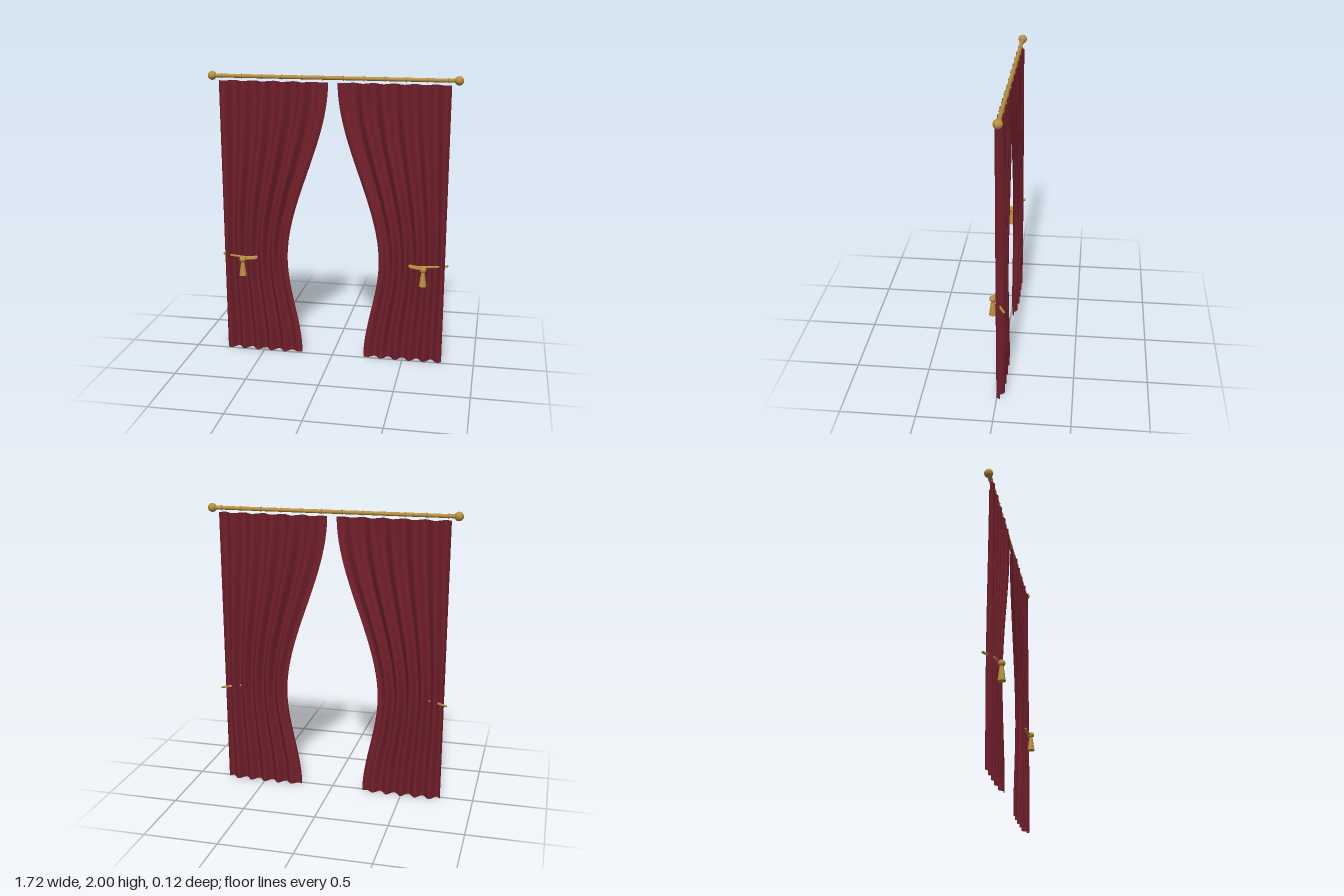
import * as THREE from 'three';

const velvet = new THREE.MeshStandardMaterial({ color: 0x74202c, side: THREE.DoubleSide });
velvet.name = 'burgundy velvet';
const brass = new THREE.MeshStandardMaterial({ color: 0xb8903f });
brass.name = 'brass gold';

const ROD_Y = 1.97, ROD_Z = -0.025, TOP = 1.94, TIE_Y = 0.7;

function add(parent, name, geometry, material, x = 0, y = 0, z = 0) {
  const mesh = new THREE.Mesh(geometry, material);
  mesh.name = name;
  mesh.position.set(x, y, z);
  parent.add(mesh);
  return mesh;
}

// Inner hem: sweeps out to the tieback, then falls part of the way back
function innerEdge(y) {
  return y > TIE_Y
    ? THREE.MathUtils.lerp(0.323, 0.032, THREE.MathUtils.smoothstep(y, TIE_Y, TOP))
    : THREE.MathUtils.lerp(0.222, 0.323, THREE.MathUtils.smoothstep(y, 0, TIE_Y));
}

// Pleated cloth: a grid whose folds follow the hem curve
function curtainGeometry(side) {
  const geometry = new THREE.PlaneGeometry(1, 1, 110, 60);
  const p = geometry.attributes.position;
  for (let i = 0; i < p.count; i++) {
    const u = side > 0 ? p.getX(i) + 0.5 : 0.5 - p.getX(i);
    const y = (p.getY(i) + 0.5) * TOP;
    const outer = 0.775 + 0.01 * y / TOP;
    const x = THREE.MathUtils.lerp(innerEdge(y), outer, u);
    const depth = 0.026 * (0.45 + 0.55 * THREE.MathUtils.smoothstep(u, 0, 0.25));
    p.setXYZ(i, side * x, y, -0.023 + depth * Math.sin(u * Math.PI * 11));
  }
  geometry.computeVertexNormals();
  return geometry;
}

// Cord wrapping from behind the outer hem to the front, with a hanging tassel
function tieback(side) {
  const group = new THREE.Group();
  group.name = side > 0 ? 'leftTieback' : 'rightTieback';
  const path = new THREE.CatmullRomCurve3([
    [0.795, 0.7, -0.053], [0.735, 0.702, -0.02], [0.67, 0.705, 0.008],
    [0.6, 0.703, 0.012], [0.535, 0.708, 0.01], [0.545, 0.7, 0.014],
    [0.59, 0.695, 0.022], [0.635, 0.693, 0.03],
  ].map(([x, y, z]) => new THREE.Vector3(side * x, y, z)));
  add(group, 'cord', new THREE.TubeGeometry(path, 60, 0.008, 8), brass);
  // Cap on the open cord end
  add(group, 'cordEnd', new THREE.SphereGeometry(0.008, 8, 6), brass, side * 0.795, 0.7, -0.053);
  add(group, 'tasselKnot', new THREE.SphereGeometry(0.023, 18, 12), brass, side * 0.635, 0.693, 0.034);
  add(group, 'tasselSkirt', new THREE.CylinderGeometry(0.012, 0.026, 0.1, 16), brass, side * 0.635, 0.625, 0.034);
  return group;
}

export function createModel() {
  const model = new THREE.Group();
  model.name = 'curtains';

  // Rod
  const rod = add(model, 'rod', new THREE.CylinderGeometry(0.013, 0.013, 1.66, 20), brass, 0, ROD_Y, ROD_Z);
  rod.rotation.z = Math.PI / 2;

  // Rings along the rod
  for (let i = 0; i < 12; i++) {
    const ring = add(model, 'ring', new THREE.TorusGeometry(0.0145, 0.003, 8, 20), brass,
      (i - 5.5) * 0.139, ROD_Y, ROD_Z);
    ring.rotation.y = Math.PI / 2;
  }

  for (const side of [-1, 1]) {
    add(model, 'finial', new THREE.SphereGeometry(0.03, 24, 16), brass, side * 0.83, ROD_Y, ROD_Z);
    add(model, side > 0 ? 'leftCurtain' : 'rightCurtain', curtainGeometry(side), velvet);
    model.add(tieback(side));
  }
  return model;
}
